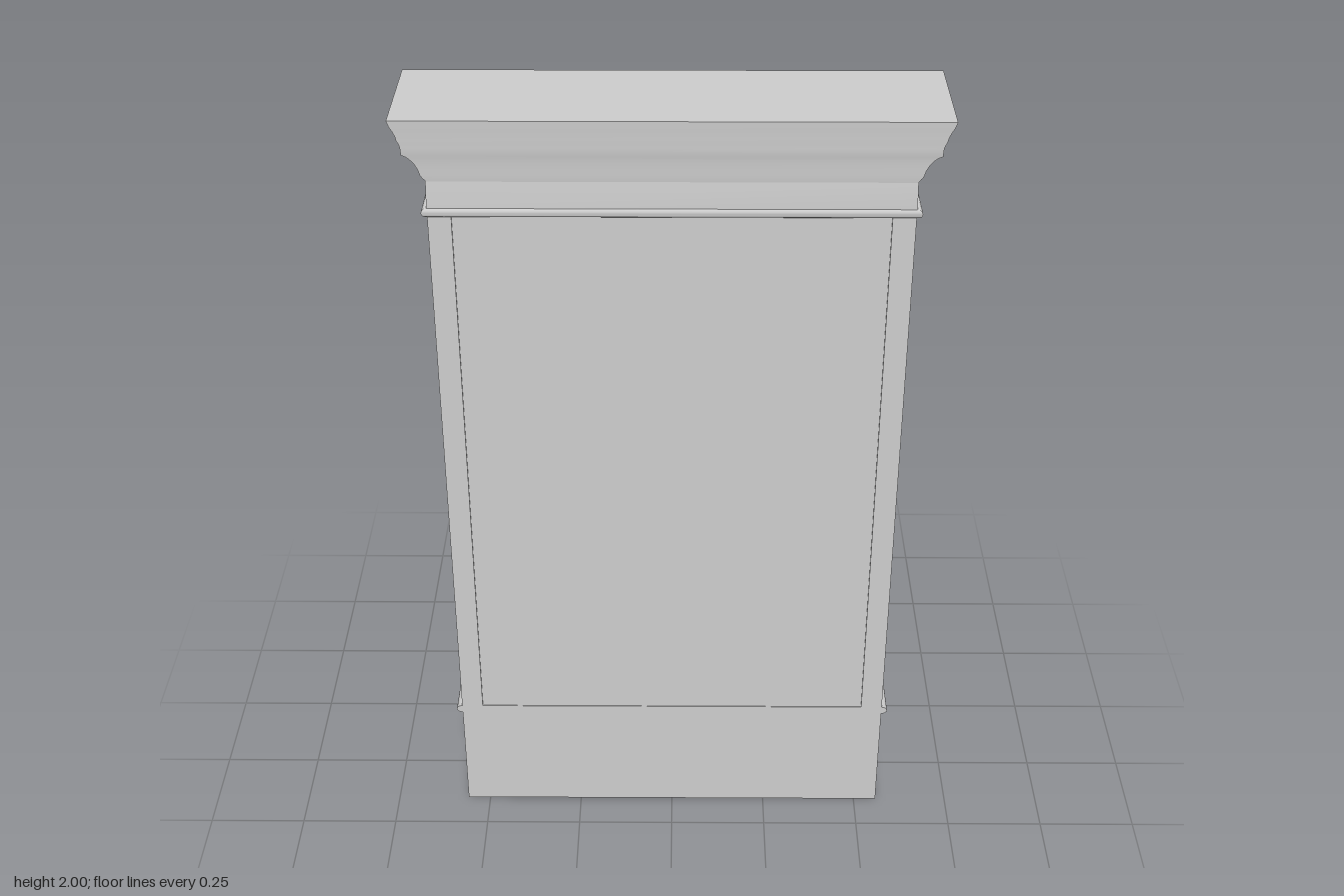
import * as THREE from 'three';
import { toCreasedNormals } from 'three/addons/utils/BufferGeometryUtils.js';

const grey = new THREE.MeshStandardMaterial({ color: 0xcccccc });

// Stack of rectangular rings [y, halfWidth, zBack, zFront], capped at both ends
function loft(rings) {
  const pos = [];
  const idx = [];
  for (const [y, hx, z0, z1] of rings) pos.push(-hx, y, z1, hx, y, z1, hx, y, z0, -hx, y, z0);
  for (let r = 0; r < rings.length - 1; r++) {
    for (let c = 0; c < 4; c++) {
      const a = r * 4 + c, b = r * 4 + (c + 1) % 4;
      idx.push(a, b, b + 4, a, b + 4, a + 4);
    }
  }
  const t = (rings.length - 1) * 4;
  idx.push(0, 2, 1, 0, 3, 2, t, t + 1, t + 2, t, t + 2, t + 3);
  const g = new THREE.BufferGeometry();
  g.setAttribute('position', new THREE.Float32BufferAttribute(pos, 3));
  g.setIndex(idx);
  return toCreasedNormals(g, 0.6);
}

// Half-round bead; frontOut = 0 keeps the +z side flush
function bead(y, height, hx, z0, z1, out, frontOut) {
  const rings = [];
  for (let i = 0; i <= 8; i++) {
    const a = -Math.PI / 2 + (i / 8) * Math.PI;
    const k = Math.cos(a);
    rings.push([y + Math.sin(a) * height / 2, hx + out * k, z0 - out * k, z1 + frontOut * k]);
  }
  return loft(rings);
}

function rectPath(path, x0, x1, y0, y1) {
  path.moveTo(x0, y0);
  path.lineTo(x1, y0);
  path.lineTo(x1, y1);
  path.lineTo(x0, y1);
  path.closePath();
  return path;
}

export function createModel() {
  const model = new THREE.Group();
  const add = (name, geometry, x = 0, y = 0, z = 0) => {
    const m = new THREE.Mesh(geometry, grey);
    m.name = name;
    m.position.set(x, y, z);
    model.add(m);
    return m;
  };
  // Box given by its limits
  const box = (name, x0, x1, y0, y1, z0, z1) =>
    add(name, new THREE.BoxGeometry(x1 - x0, y1 - y0, z1 - z0), (x0 + x1) / 2, (y0 + y1) / 2, (z0 + z1) / 2);

  // Plinth with a face frame around three sunken panels
  box('base', -0.56, 0.56, 0, 0.32, -0.141, 0.151);
  const frame = rectPath(new THREE.Shape(), -0.56, 0.56, 0, 0.32);
  for (const [a, b] of [[-0.49, -0.25], [-0.235, 0.23], [0.245, 0.49]]) {
    frame.holes.push(rectPath(new THREE.Path(), a, b, 0.055, 0.23));
  }
  add('basePanelFrame', new THREE.ExtrudeGeometry(frame, { depth: 0.007, bevelEnabled: false }), 0, 0, -0.148);
  add('baseMoulding', bead(0.313, 0.022, 0.56, -0.15, 0.151, 0.015, 0));

  // Side uprights, rounded on the outer corner of the open side
  for (const s of [1, -1]) {
    const p = new THREE.Shape();
    const r = 0.018;
    p.moveTo(s * 0.505, -0.154);
    p.lineTo(s * 0.56, -0.154);
    p.lineTo(s * 0.56, 0.145 - r);
    p.quadraticCurveTo(s * 0.56, 0.145, s * (0.56 - r), 0.145);
    p.lineTo(s * 0.505, 0.145);
    p.closePath();
    const g = new THREE.ExtrudeGeometry(p, { depth: 1.46, bevelEnabled: false, curveSegments: 6 });
    g.rotateX(-Math.PI / 2);
    add(s > 0 ? 'leftUpright' : 'rightUpright', toCreasedNormals(g, 0.6), 0, 0.32, 0);
  }

  // Closed panel behind the shelves
  box('backPanel', -0.506, 0.506, 0.318, 1.775, 0.136, 0.149);

  // Shelves, the lowest one sitting on a solid step
  box('bottomStep', -0.506, 0.506, 0.318, 0.357, -0.13, 0.138);
  for (let i = 0; i < 7; i++) {
    const top = 0.375 + i * 0.207;
    box('shelf', -0.506, 0.506, top - 0.018, top, -0.137, 0.138);
  }

  // Top bead and tapering frieze
  add('friezeMoulding', bead(1.776, 0.022, 0.56, -0.145, 0.156, 0.013, 0.007));
  add('frieze', loft([[1.77, 0.56, -0.149, 0.158], [1.79, 0.56, -0.149, 0.158], [1.855, 0.559, -0.14, 0.15]]));

  // Crown: wide stepped profile at the ends, shallow relief front and back
  const crown = [
    [1.85, 0.557], [1.858, 0.565], [1.866, 0.57], [1.88, 0.574], [1.895, 0.582], [1.906, 0.592],
    [1.912, 0.6], [1.916, 0.609], [1.935, 0.61], [1.942, 0.612], [1.952, 0.617], [1.962, 0.619],
    [1.975, 0.625], [1.985, 0.631], [2.0, 0.636],
  ];
  add('crown', loft(crown.map(([y, x]) => {
    const k = (x - 0.557) * 0.1;
    return [y, x, -0.14 - k, 0.151 + k];
  })));
  return model;
}
